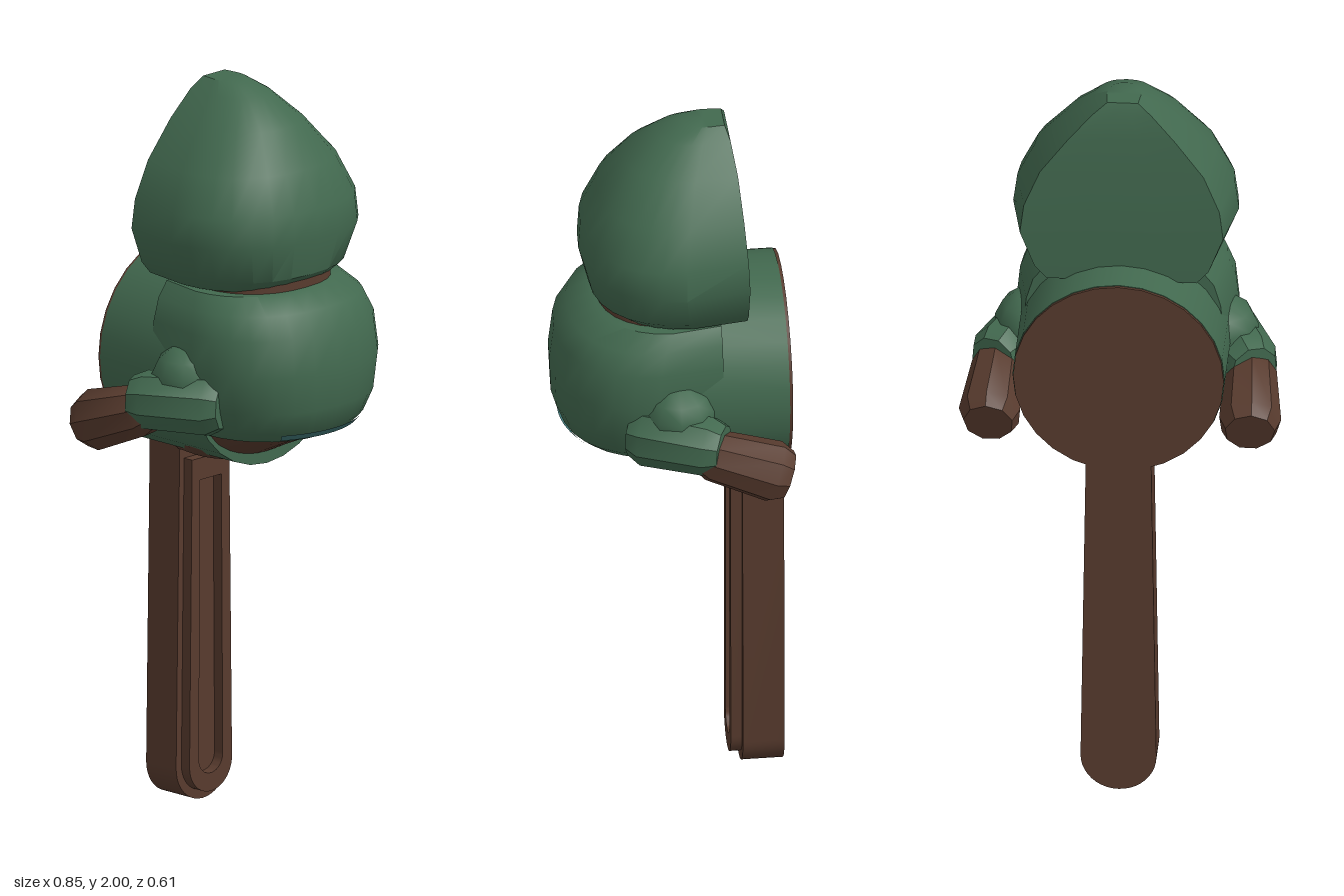
import * as THREE from 'three';
import { toCreasedNormals } from 'three/addons/utils/BufferGeometryUtils.js';

const green = new THREE.MeshStandardMaterial({ name: 'green', color: 0x42694f });
const brown = new THREE.MeshStandardMaterial({ name: 'brown', color: 0x583b2e });
const teal = new THREE.MeshStandardMaterial({ name: 'teal', color: 0x3f7474 });

// Closed loft through flat-backed horizontal rings: [y, halfWidth, zBack, zFront]
function loft(rings, steps = 14) {
  const section = [];
  for (let i = 0; i <= steps; i++) {
    const a = (i / steps) * Math.PI;
    const c = Math.cos(a);
    section.push([Math.sign(c) * Math.abs(c) ** 0.85, 0.4 + 0.6 * Math.max(0, Math.sin(a)) ** 0.9]);
  }
  section.push([-0.9, 0], [-0.3, 0], [0.3, 0], [0.9, 0]);
  const n = section.length, pos = [], idx = [];
  for (const [y, w, zb, zf] of rings) {
    for (const [u, t] of section) pos.push(u * w, y, zb + (zf - zb) * t);
  }
  for (let r = 0; r < rings.length - 1; r++) {
    for (let i = 0; i < n; i++) {
      const a = r * n + i, b = r * n + ((i + 1) % n);
      idx.push(a, a + n, b, b, a + n, b + n);
    }
  }
  // end caps
  const last = rings.length - 1;
  for (const r of [0, last]) {
    const [y, , zb, zf] = rings[r];
    const centre = pos.length / 3;
    pos.push(0, y, (zb + zf) / 2);
    for (let i = 0; i < n; i++) {
      const a = r * n + i, b = r * n + ((i + 1) % n);
      if (r === 0) idx.push(centre, a, b);
      else idx.push(centre, b, a);
    }
  }
  const g = new THREE.BufferGeometry();
  g.setAttribute('position', new THREE.Float32BufferAttribute(pos, 3));
  g.setIndex(idx);
  return toCreasedNormals(g, 0.6);
}

// Tapered limb between two points
function limb(a, b, ra, rb, sides) {
  const from = new THREE.Vector3(...a), to = new THREE.Vector3(...b);
  const dir = to.clone().sub(from), len = dir.length();
  const pts = [[0, 0], [ra * 0.75, 0], [ra, len * 0.15], [rb, len * 0.85], [rb * 0.8, len], [0, len]];
  const g = new THREE.LatheGeometry(pts.map(p => new THREE.Vector2(...p)), sides);
  g.applyQuaternion(new THREE.Quaternion().setFromUnitVectors(new THREE.Vector3(0, 1, 0), dir.normalize()));
  g.translate(...a);
  return toCreasedNormals(g, 0.6);
}

// Strip with a round lower end
function strip(path, bottom, top, wLow, wTop) {
  path.moveTo(wTop, top);
  path.lineTo(-wTop, top);
  path.lineTo(-wLow, bottom + wLow);
  path.absarc(0, bottom + wLow, wLow, Math.PI, Math.PI * 2, false);
  path.lineTo(wTop, top);
  return path;
}

export function createModel() {
  const model = new THREE.Group();
  model.name = 'figureOnHandle';
  const add = (name, geometry, material, parent = model) => {
    const mesh = new THREE.Mesh(geometry, material);
    mesh.name = name;
    parent.add(mesh);
    return mesh;
  };
  const extrude = (shape, depth, z) => {
    const g = new THREE.ExtrudeGeometry(shape, { depth, bevelEnabled: false, curveSegments: 10 });
    g.translate(0, 0, z);
    return toCreasedNormals(g, 0.6);
  };

  // Handle and its raised front rim
  add('handle', extrude(strip(new THREE.Shape(), 0.005, 1.08, 0.1, 0.085), 0.11, -0.3), brown);
  const rim = strip(new THREE.Shape(), 0.03, 0.95, 0.08, 0.07);
  rim.holes.push(strip(new THREE.Path(), 0.08, 0.89, 0.045, 0.04));
  add('handleRim', extrude(rim, 0.03, -0.19), brown);

  // Round body with its wooden back plate
  const body = new THREE.CylinderGeometry(0.28, 0.28, 0.34, 28).rotateX(Math.PI / 2).translate(0, 1.25, -0.124);
  add('body', toCreasedNormals(body, 0.6), green);
  const plate = new THREE.CylinderGeometry(0.278, 0.278, 0.009, 28).rotateX(Math.PI / 2).translate(0, 1.25, -0.2975);
  add('backPlate', toCreasedNormals(plate, 0.6), brown);

  // Bulging belly, wooden underside and the bands around it
  add('belly', loft([
    [1.09, 0.22, -0.12, 0.255], [1.12, 0.25, -0.12, 0.285], [1.18, 0.275, -0.12, 0.308],
    [1.28, 0.295, -0.12, 0.312], [1.38, 0.285, -0.12, 0.3], [1.44, 0.265, -0.12, 0.265],
    [1.48, 0.23, -0.12, 0.2],
  ]), green);
  add('underside', loft([
    [0.98, 0.1, -0.19, 0], [1.02, 0.16, -0.19, 0.08], [1.06, 0.2, -0.19, 0.17], [1.091, 0.218, -0.19, 0.245],
  ]), brown);
  add('neckBand', loft([[1.455, 0.2, -0.12, 0.19], [1.51, 0.19, -0.12, 0.19]]), brown);
  const stripe = new THREE.CylinderGeometry(0.288, 0.272, 0.018, 14, 1, true, -0.55, 1.1).translate(0, 1.106, 0.002);
  add('bellyStripe', stripe, teal).material.side = THREE.DoubleSide;

  // Pointed head, flat at the back
  add('head', loft([
    [1.485, 0.22, -0.19, 0.17], [1.52, 0.255, -0.19, 0.21], [1.62, 0.298, -0.19, 0.235],
    [1.7, 0.287, -0.187, 0.23], [1.8, 0.24, -0.18, 0.185], [1.9, 0.155, -0.172, 0.115],
    [1.97, 0.085, -0.16, 0.03], [2.0, 0.045, -0.148, -0.04],
  ]), green);

  // Arms, mirrored: green sleeve and wooden forearm
  for (const [side, s] of [['left', 1], ['right', -1]]) {
    const arm = new THREE.Group();
    arm.name = side + 'Arm';
    add('sleeve', limb([s * 0.24, 1.19, 0.12], [s * 0.345, 1.185, -0.11], 0.085, 0.08, 9), green, arm);
    add('forearm', limb([s * 0.33, 1.17, -0.05], [s * 0.345, 1.09, -0.28], 0.07, 0.083, 9), brown, arm);
    add('shoulder', new THREE.SphereGeometry(0.1, 10, 7).translate(s * 0.25, 1.24, 0), green, arm);
    model.add(arm);
  }
  return model;
}
